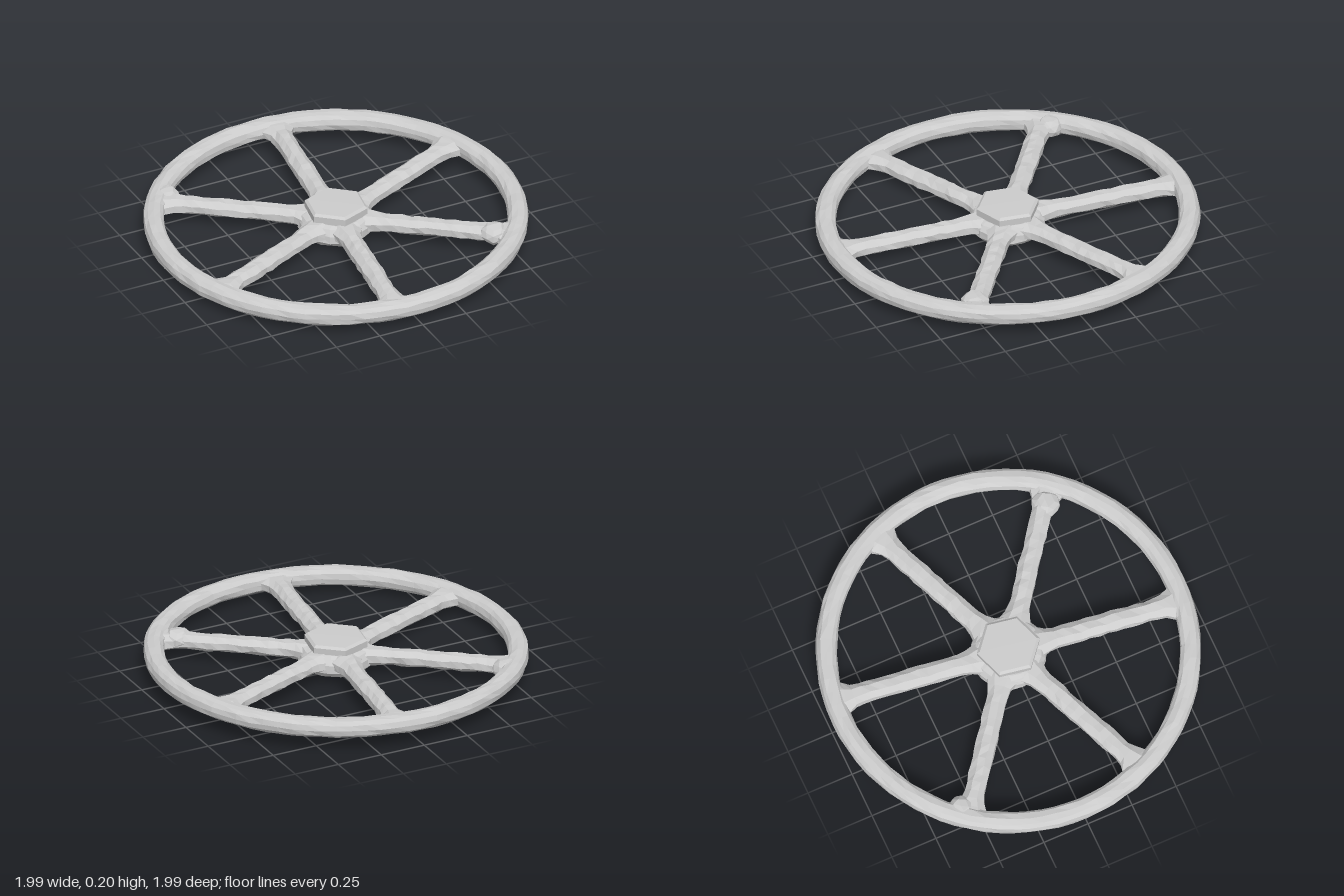
import * as THREE from 'three';

const material = new THREE.MeshStandardMaterial({ color: 0xcccccc, flatShading: true, side: THREE.DoubleSide });

// Position-based pseudo noise in -1..1, so coincident seam vertices stay joined
function noise(x, y, z, k) {
  const q = (v) => Math.round(v * 1000);
  const s = Math.sin(q(x) * 12.9898 + q(y) * 78.233 + q(z) * 37.719 + k * 11.3) * 43758.5453;
  return (s - Math.floor(s)) * 2 - 1;
}

// Rough cast surface plus the slight lean of the whole wheel
function weather(geo, amount) {
  const p = geo.attributes.position;
  for (let i = 0; i < p.count; i++) {
    const x = p.getX(i), y = p.getY(i), z = p.getZ(i);
    p.setXYZ(i,
      x + amount * noise(x, y, z, 1),
      y + amount * noise(x, y, z, 2) + 0.015 * x - 0.015 * z,
      z + amount * noise(x, y, z, 3));
  }
  geo.computeVertexNormals();
  return geo;
}

function createSpokeGeometry(angle) {
  const r0 = 0.12, r1 = 0.93;
  const geo = new THREE.CylinderGeometry(1, 1, 1, 8, 18, true, Math.PI / 8);
  geo.rotateZ(-Math.PI / 2);
  const p = geo.attributes.position;
  for (let i = 0; i < p.count; i++) {
    const r = r0 + (p.getX(i) + 0.5) * (r1 - r0);
    // Fillets where the spoke meets the hub and the rim
    const inner = Math.max(0, (0.28 - r) / 0.14);
    const outer = Math.max(0, (r - 0.8) / 0.1);
    const halfWidth = 0.056 + 0.045 * Math.min(1, inner) ** 2 + 0.05 * Math.min(1.2, outer) ** 2;
    const halfHeight = 0.045 + 0.008 * Math.min(1, inner);
    p.setXYZ(i, r, 0.11 + p.getY(i) * halfHeight, p.getZ(i) * halfWidth);
  }
  geo.rotateY(angle);
  return weather(geo, 0.004);
}

export function createModel() {
  const wheel = new THREE.Group();
  wheel.name = 'handwheel';
  const add = (name, geo) => {
    const mesh = new THREE.Mesh(geo, material);
    mesh.name = name;
    wheel.add(mesh);
    return mesh;
  };

  // Rim: rounded section swept round the axis
  const section = [];
  for (let i = 0; i <= 12; i++) {
    const a = (i % 12) / 12 * Math.PI * 2;
    const soft = (v) => Math.sign(v) * Math.abs(v) ** 0.85;
    section.push(new THREE.Vector2(0.942 + 0.055 * soft(Math.cos(a)), 0.115 + 0.051 * soft(Math.sin(a))));
  }
  add('rim', weather(new THREE.LatheGeometry(section, 80), 0.003));

  // Six spokes
  for (let i = 0; i < 6; i++) {
    add('spoke', createSpokeGeometry(THREE.MathUtils.degToRad(23 + 60 * i)));
  }

  // Hub with a shallow conical underside
  const hubProfile = [[0, 0.004], [0.08, 0.012], [0.17, 0.045], [0.197, 0.075], [0.195, 0.115], [0.175, 0.145], [0.15, 0.155], [0, 0.155]]
    .map(([r, y]) => new THREE.Vector2(r, y));
  add('hub', weather(new THREE.LatheGeometry(hubProfile, 20), 0.003));

  // Hexagonal nut with a chamfered top edge
  const nutProfile = [[0, 0.13], [0.165, 0.13], [0.168, 0.192], [0.153, 0.204], [0, 0.206]]
    .map(([r, y]) => new THREE.Vector2(r, y));
  const nut = add('hexNut', new THREE.LatheGeometry(nutProfile, 6));
  nut.rotation.y = THREE.MathUtils.degToRad(-10);

  // Casting lumps at two of the spoke ends
  for (const [x, z, size] of [[0.66, 0.51, 0.075], [-0.69, -0.58, 0.07]]) {
    const lump = new THREE.IcosahedronGeometry(1, 1);
    lump.scale(size, 0.055, size);
    lump.translate(x, 0.115, z);
    add('castingLump', weather(lump, 0.004));
  }

  return wheel;
}
